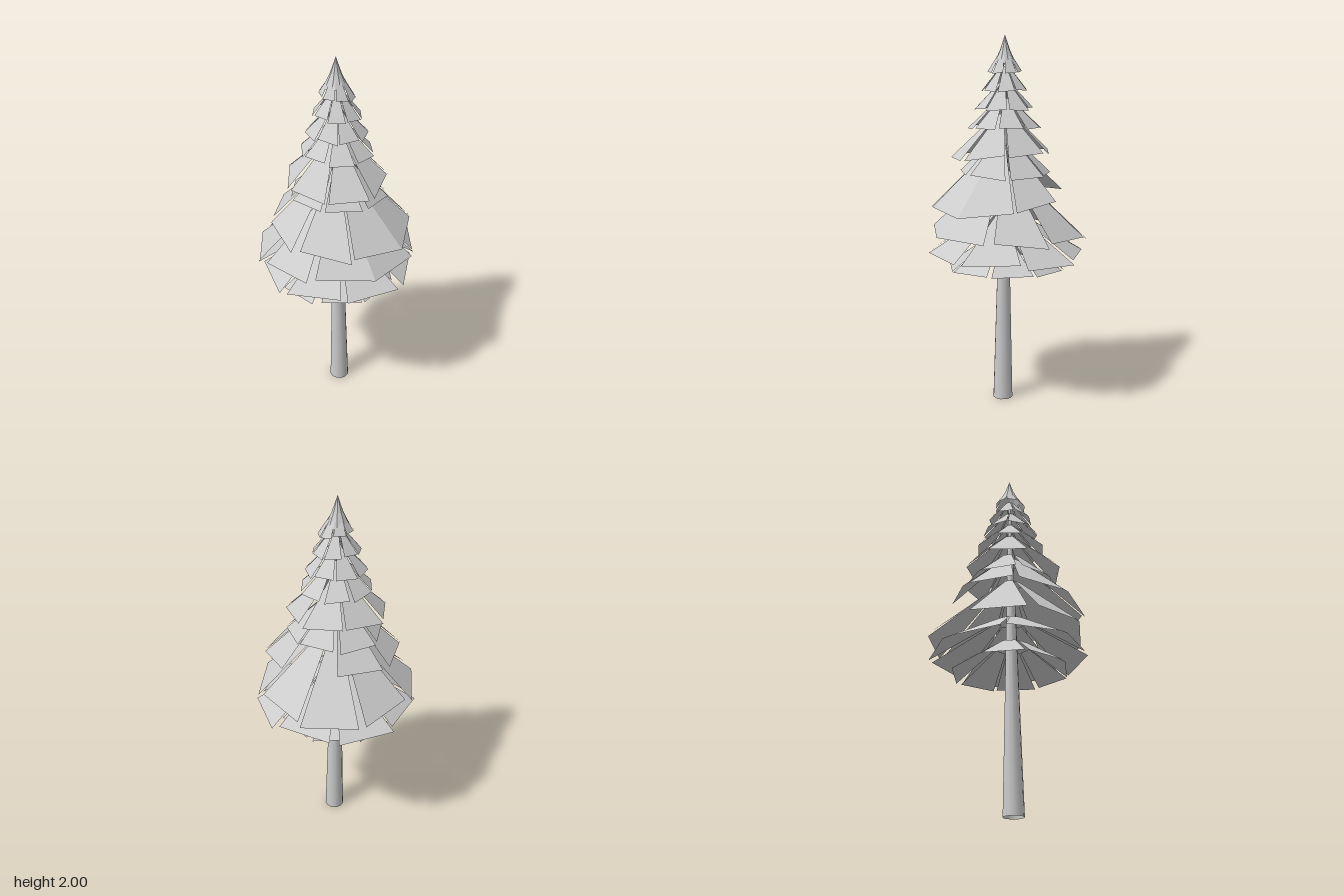
import * as THREE from 'three';

const material = new THREE.MeshStandardMaterial({ color: 0xcccccc, flatShading: true, side: THREE.DoubleSide });
const trunkMaterial = new THREE.MeshStandardMaterial({ color: 0xcccccc, side: THREE.DoubleSide });

// Small seeded generator for the irregular flaps
let seed = 11;
const rand = () => (seed = (seed * 16807) % 2147483647) / 2147483647;

// The stem leans slightly: axis position at height y
const axis = (y) => [0.017 - 0.0125 * y, 0.017 - 0.004 * y];

// One tier: separate flaps sloping from the stem to a rim circle centred on (cx, cz).
// Longer corners droop lower; start is the direction of the first flap in degrees.
// The flap at index wide is folded and covers two slots.
function makeTier({ top, rim, radius, slots, start, wide, flaps = slots, cx = 0, cz = 0, inner = 0.06 }) {
  const [ax, az] = axis(top);
  const slope = (top - rim) / (radius - inner);
  const slot = (Math.PI * 2) / slots;
  const positions = [];
  for (let i = 0; i < flaps; i++) {
    const mid = THREE.MathUtils.degToRad(start) + (i + (rand() - 0.5) * 0.08) * slot;
    const half = slot * (0.42 + 0.05 * rand());
    const offsets = i === wide ? [-half, slot / 2, slot + half] : [-half, half];
    const pairs = offsets.map((offset) => {
      const r = radius * (0.97 + 0.09 * rand());
      const x = cx + r * Math.cos(mid + offset) - ax;
      const z = cz + r * Math.sin(mid + offset) - az;
      const reach = Math.hypot(x, z), k = inner / reach;
      return [[ax + x * k, top, az + z * k], [ax + x, top - slope * (reach - inner), az + z]];
    });
    for (let j = 1; j < pairs.length; j++) {
      const [a, b] = pairs[j - 1], [c, d] = pairs[j];
      positions.push(...a, ...d, ...b, ...a, ...c, ...d);
    }
    if (i === wide) i++;
  }
  const geometry = new THREE.BufferGeometry();
  geometry.setAttribute('position', new THREE.Float32BufferAttribute(positions, 3));
  geometry.computeVertexNormals();
  return new THREE.Mesh(geometry, material);
}

export function createModel() {
  const tree = new THREE.Group();
  tree.name = 'pineTree';

  // Trunk: long open taper, sheared along the leaning axis
  const trunkHeight = 1.8;
  const trunkGeo = new THREE.CylinderGeometry(0.008, 0.055, trunkHeight, 12, 1, true);
  trunkGeo.translate(0, trunkHeight / 2, 0);
  const p = trunkGeo.attributes.position;
  for (let i = 0; i < p.count; i++) {
    const [x, z] = axis(p.getY(i));
    p.setX(i, p.getX(i) + x);
    p.setZ(i, p.getZ(i) + z);
  }
  const trunk = new THREE.Mesh(trunkGeo, trunkMaterial);
  trunk.name = 'trunk';
  tree.add(trunk);

  // Wide lower tiers, bottom to top
  const tiers = [
    { top: 0.91, rim: 0.76, radius: 0.32, slots: 8, start: 70, cz: 0.01, inner: 0.1 },
    { top: 1.06, rim: 0.85, radius: 0.42, slots: 8, start: 89, inner: 0.08 },
    { top: 1.29, rim: 0.96, radius: 0.42, slots: 8, start: -111, wide: 3 },
    { top: 1.43, rim: 1.14, radius: 0.365, slots: 8, flaps: 7, start: -48, wide: 1, cx: 0.03, cz: 0.04 },
    { top: 1.46, rim: 1.28, radius: 0.25, slots: 7, start: -90 },
    { top: 1.59, rim: 1.38, radius: 0.268, slots: 7, start: 58, cz: 0.03, inner: 0.045 },
  ];
  // Narrow upper tiers shrink steadily
  for (let i = 0; i < 4; i++) {
    const rim = 1.525 + 0.097 * i;
    tiers.push({
      top: rim + 0.15 - 0.015 * i, rim, radius: 0.188 - 0.033 * i,
      slots: 8, start: 20 + 27 * i, cz: 0.01, inner: 0.03 - 0.003 * i,
    });
  }
  tiers.forEach((tier, i) => {
    const mesh = makeTier(tier);
    mesh.name = `foliageTier${i + 1}`;
    tree.add(mesh);
  });

  // Pointed crown, flaring towards its lower edge
  const crown = new THREE.Mesh(new THREE.LatheGeometry([
    new THREE.Vector2(0.062, 1.85), new THREE.Vector2(0.028, 1.92), new THREE.Vector2(0, 2),
  ], 9), material);
  const [x, z] = axis(2);
  crown.position.set(x, 0, z);
  crown.name = 'crownTip';
  tree.add(crown);

  return tree;
}
